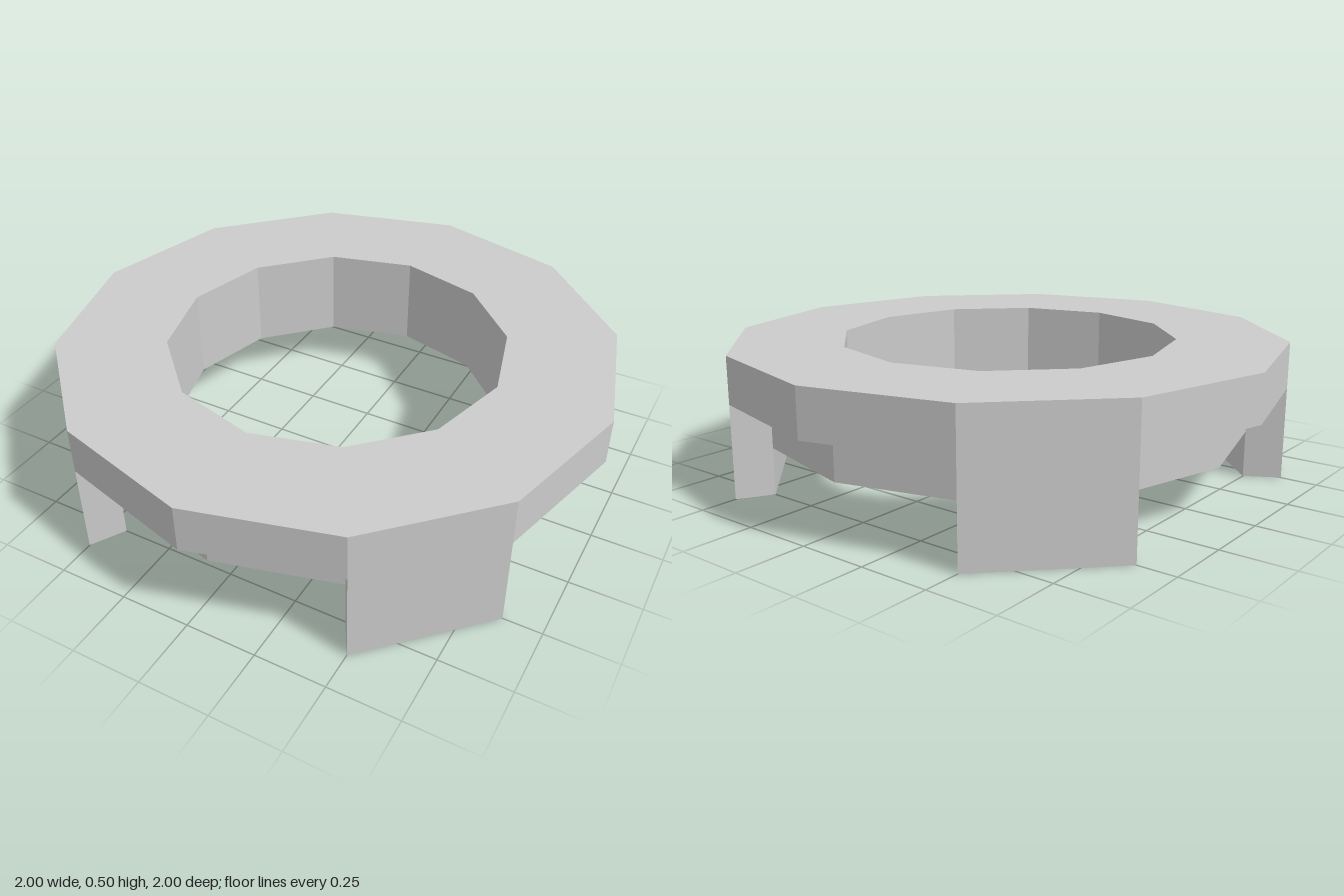
import * as THREE from 'three';

const SIDES = 12;
const OUTER = 1, STEP = 0.865, INNER = 0.605;
const TOP = 0.5, RIM = 0.333, BASE = 0.167;

const material = new THREE.MeshStandardMaterial({ color: 0xcccccc, flatShading: true });

// Stepped twelve-sided ring: closed profile swept around y
function createRing() {
  const profile = [
    [INNER, BASE], [STEP, BASE], [STEP, RIM], [OUTER, RIM],
    [OUTER, TOP], [INNER, TOP], [INNER, BASE],
  ].map(([r, y]) => new THREE.Vector2(r, y));
  const ring = new THREE.Mesh(new THREE.LatheGeometry(profile, SIDES), material);
  ring.name = 'steppedRing';
  return ring;
}

// Leg filling one facet of the step, from the floor up to the rim
function createLegGeometry() {
  const corner = (r, degrees) => {
    const a = THREE.MathUtils.degToRad(degrees);
    return new THREE.Vector2(r * Math.cos(a), r * Math.sin(a));
  };
  const shape = new THREE.Shape([
    corner(STEP, 30), corner(OUTER, 30), corner(OUTER, 60), corner(STEP, 60),
  ]);
  return new THREE.ExtrudeGeometry(shape, { depth: RIM, bevelEnabled: false }).rotateX(-Math.PI / 2);
}

export function createModel() {
  const model = new THREE.Group();
  model.name = 'ringStand';
  model.add(createRing());

  // Four legs, a quarter turn apart
  const legGeometry = createLegGeometry();
  const names = ['backLeftLeg', 'backRightLeg', 'frontRightLeg', 'frontLeftLeg'];
  names.forEach((name, i) => {
    const leg = new THREE.Mesh(legGeometry, material);
    leg.name = name;
    leg.rotation.y = i * Math.PI / 2;
    model.add(leg);
  });
  return model;
}
